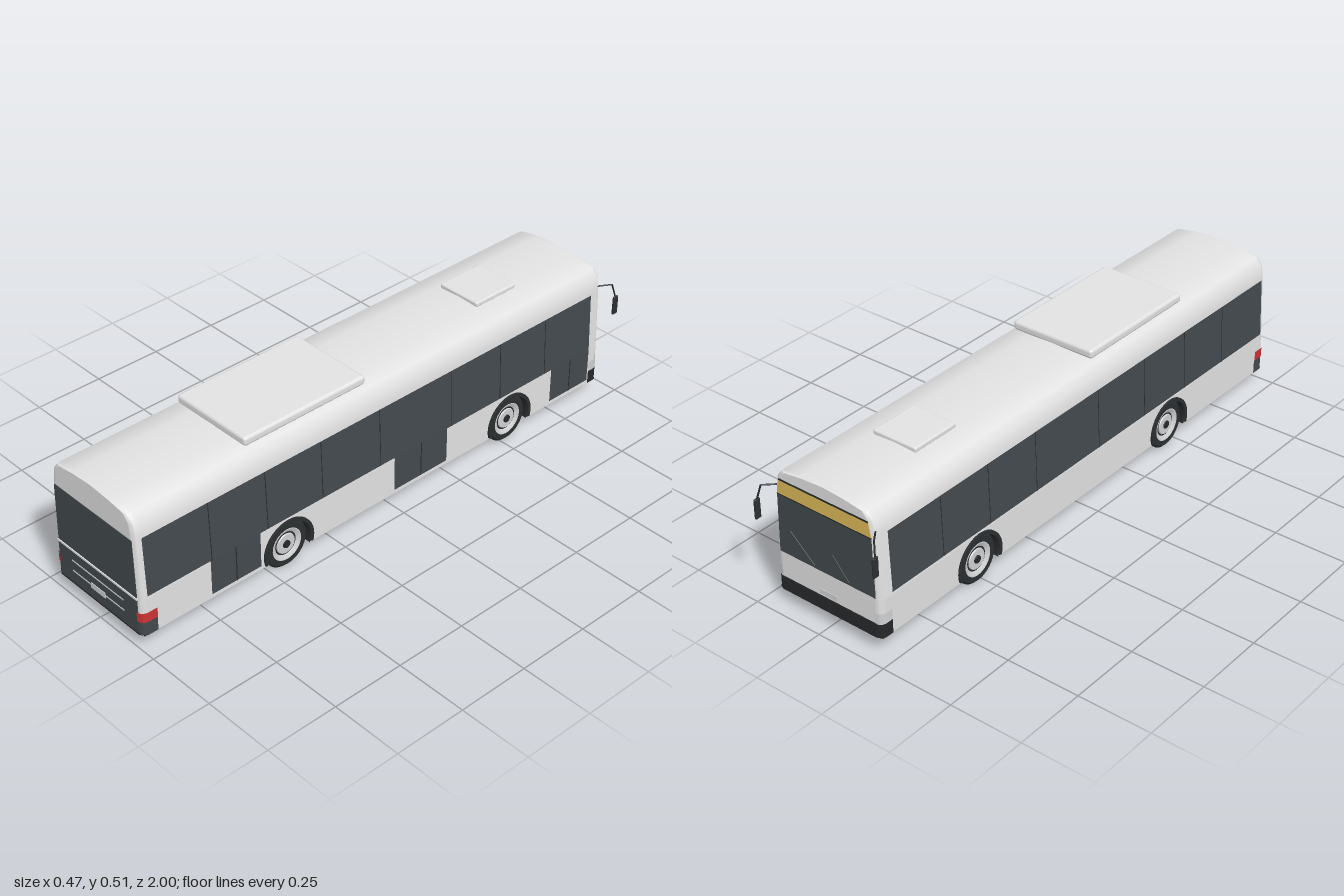
import * as THREE from 'three';
import { toCreasedNormals, mergeGeometries } from 'three/addons/utils/BufferGeometryUtils.js';
import { RoundedBoxGeometry } from 'three/addons/geometries/RoundedBoxGeometry.js';

const REAR = 0.995, FRONT = -0.95, R = 0.02, W = 0.203;
const WHEEL_Y = 0.083, WHEEL_Z = [-0.52, 0.44], ARCH = 0.09, DIP = 0.376;
// half of the body's cross-section, bottom to roof centre
const PROFILE = [[W, 0.05], [W, 0.18], [0.194, 0.4], [0.187, 0.445], [0.165, 0.47], [0.09, 0.48], [0, 0.485]];

function xAt(y) {
  for (let i = 1; i < PROFILE.length; i++) {
    const [x0, y0] = PROFILE[i - 1], [x1, y1] = PROFILE[i];
    if (y <= y1) return x0 + (x1 - x0) * (y - y0) / (y1 - y0);
  }
  return 0;
}

// [z, inset] stations round a vertical body corner, ascending in z
function corner(dir, off = 0) {
  const end = dir > 0 ? REAR : FRONT, out = [];
  for (let i = 0; i <= 5; i++) {
    const a = i / 5 * Math.PI / 2;
    out.push([end - dir * R + dir * (R + off) * Math.sin(a), R - (R + off) * Math.cos(a)]);
  }
  return dir > 0 ? out : out.reverse();
}

// surface through a row of cross-section points at every station
function skin(points, stations) {
  const pos = [], idx = [], n = points.length;
  for (const [z, inset] of stations)
    for (const [x, y] of points) pos.push(x * (1 - inset / W), y, z);
  for (let i = 0; i < stations.length - 1; i++)
    for (let j = 0; j < n - 1; j++) {
      const a = i * n + j, b = a + n;
      idx.push(a, a + 1, b + 1, a, b + 1, b);
    }
  const g = new THREE.BufferGeometry();
  g.setAttribute('position', new THREE.Float32BufferAttribute(pos, 3));
  g.setIndex(idx);
  return toCreasedNormals(g, 0.8);
}

// strip lying on one side wall (s = +1 or -1)
function band(s, ys, stations) {
  const pts = ys.map(y => [s * xAt(y), y]);
  return skin(s < 0 ? pts.reverse() : pts, stations);
}
const flat = (z0, z1, off) => [[z0, -off], [z1, -off]];

export function createModel() {
  const root = new THREE.Group();
  const mat = (name, color, side = THREE.FrontSide) => {
    const m = new THREE.MeshStandardMaterial({ color, side });
    m.name = name;
    return m;
  };
  const white = mat('white paint', 0xe2e2e2, THREE.DoubleSide);
  const glass = mat('dark glass', 0x42494d);
  const black = mat('black trim', 0x26282a, THREE.DoubleSide);
  const rubber = mat('rubber', 0x2c2f31, THREE.DoubleSide);
  const silver = mat('silver', 0xcfd1d2, THREE.DoubleSide);
  const red = mat('red lamp', 0xcc3333);
  const gold = mat('gold sign', 0xdcba58);
  const add = (name, geo, m, x = 0, y = 0, z = 0, parent = root) => {
    const mesh = new THREE.Mesh(geo, m);
    mesh.name = name;
    mesh.position.set(x, y, z);
    parent.add(mesh);
    return mesh;
  };
  const box = (name, m, w, h, d, x, y, z) => add(name, new THREE.BoxGeometry(w, h, d), m, x, y, z);

  // body shell: upper part full length, lower part only round the corners
  const mirrorPts = p => [...p, ...p.slice(0, -1).reverse().map(([x, y]) => [-x, y])];
  add('bodyShell', skin(mirrorPts(PROFILE.slice(1)), [...corner(-1), ...corner(1)]), white);
  for (const s of [1, -1]) for (const dir of [1, -1])
    add('lowerCorner', band(s, [0.05, 0.18], corner(dir)), white);

  // end walls
  const endShape = new THREE.Shape(mirrorPts(PROFILE).reverse().map(([x, y]) => new THREE.Vector2(x * (1 - R / W), y)));
  add('rearWall', new THREE.ShapeGeometry(endShape), white, 0, 0, REAR);
  add('frontWall', new THREE.ShapeGeometry(endShape).rotateY(Math.PI), white, 0, 0, FRONT);

  // lower side walls with wheel openings
  const wall = new THREE.Shape();
  wall.moveTo(FRONT + R, 0.05);
  for (const z of WHEEL_Z) {
    wall.lineTo(z - ARCH * Math.cos(DIP), 0.05);
    wall.absarc(z, WHEEL_Y, ARCH, Math.PI + DIP, -DIP, true);
  }
  wall.lineTo(REAR - R, 0.05);
  wall.lineTo(REAR - R, 0.18);
  wall.lineTo(FRONT + R, 0.18);
  for (const s of [1, -1])
    add('lowerSide', new THREE.ShapeGeometry(wall, 20).rotateY(-s * Math.PI / 2).scale(1, 1, s), white, s * W);

  // floor, left open above the wheels
  box('floor', black, 0.28, 0.004, 1.94, 0, 0.051, 0.0225);
  for (const s of [1, -1])
    for (const [a, b] of [[-0.945, -0.605], [-0.435, 0.355], [0.525, 0.99]])
      box('floorEdge', black, 0.064, 0.004, b - a, s * 0.17, 0.051, (a + b) / 2);

  // wheels, wells and arches
  const tyreGeo = toCreasedNormals(new THREE.LatheGeometry([[0, -0.024], [0.073, -0.024], [0.083, -0.016], [0.083, 0.016], [0.075, 0.024], [0.056, 0.024]]
    .map(p => new THREE.Vector2(...p)), 32).toNonIndexed(), 0.6);
  const rimGeo = new THREE.LatheGeometry([[0.057, 0.024], [0.053, 0.025], [0.041, 0.017]].map(p => new THREE.Vector2(...p)), 32);
  const flare = new THREE.Shape();
  flare.absarc(0, 0, 0.098, -0.28, Math.PI + 0.28, false);
  flare.absarc(0, 0, 0.086, Math.PI + 0.28, -0.28, true);
  const flareGeo = new THREE.ExtrudeGeometry(flare, { depth: 0.009, bevelEnabled: false, curveSegments: 20 });
  const wellArc = Math.PI + 2 * DIP;
  for (const s of [1, -1]) for (const z of WHEEL_Z) {
    const wheel = new THREE.Group();
    wheel.name = 'wheel';
    wheel.position.set(s * 0.172, WHEEL_Y, z);
    wheel.rotation.z = -s * Math.PI / 2;
    root.add(wheel);
    add('tyre', tyreGeo, rubber, 0, 0, 0, wheel);
    add('rim', rimGeo, silver, 0, 0, 0, wheel);
    add('rimGap', new THREE.CylinderGeometry(0.042, 0.042, 0.004, 28), black, 0, 0.015, 0, wheel);
    add('hubDisc', new THREE.CylinderGeometry(0.034, 0.037, 0.006, 28), silver, 0, 0.018, 0, wheel);
    add('hub', new THREE.CylinderGeometry(0.013, 0.015, 0.008, 16), black, 0, 0.021, 0, wheel);
    add('wheelWell', new THREE.CylinderGeometry(ARCH, ARCH, 0.065, 24, 1, true, -DIP, wellArc).rotateZ(Math.PI / 2), black, s * 0.1725, WHEEL_Y, z);
    add('wellInner', new THREE.CircleGeometry(ARCH, 24, -DIP, wellArc).rotateY(Math.PI / 2), black, s * 0.14, WHEEL_Y, z);
    add('wheelArch', flareGeo.clone().rotateY(-Math.PI / 2), rubber, s > 0 ? 0.21 : -0.201, WHEEL_Y, z);
  }

  // side windows with thin dividers
  for (const s of [1, -1]) {
    add('sideWindows', band(s, [0.19, 0.396], flat(-0.9, 0.972, 0.002)), glass);
    for (const z of [0.735, 0.52, 0.3, 0.06, -0.25, -0.47, -0.68])
      add('windowDivider', band(s, [0.19, 0.396], flat(z - 0.0015, z + 0.0015, 0.003)), black);
  }

  // doors on one side only
  for (const [a, b] of [[-0.9, -0.715], [-0.23, 0], [0.55, 0.74]]) {
    add('door', band(1, [0.065, 0.18, 0.191], flat(a, b, 0.002)), glass);
    const c = (a + b) / 2;
    add('doorSeam', band(1, [0.065, 0.18, 0.191], flat(c - 0.002, c + 0.002, 0.003)), black);
  }

  // corner lamps and bumper wraps
  for (const s of [1, -1]) {
    add('tailLamp', band(s, [0.1, 0.134], [[0.942, -0.004], ...corner(1, 0.004)]), red);
    add('rearBumperCorner', band(s, [0.05, 0.1], [[0.942, -0.002], ...corner(1, 0.002)]), glass);
    add('frontBumperCorner', band(s, [0.05, 0.098], [...corner(-1, 0.002), [-0.905, -0.002]]), black);
    add('headLamp', band(s, [0.1, 0.135], [...corner(-1, 0.002), [-0.905, -0.002]]), silver);
  }

  // thin plates on the end walls
  const plate = (name, m, dir, y0, y1, w0, w1, d = 0.002) => {
    const sh = new THREE.Shape([[-w0, y0], [w0, y0], [w1, y1], [-w1, y1]].map(p => new THREE.Vector2(...p)));
    add(name, new THREE.ExtrudeGeometry(sh, { depth: d, bevelEnabled: false }), m, 0, 0, dir > 0 ? REAR : FRONT - d);
  };
  plate('rearWindow', glass, 1, 0.186, 0.39, 0.186, 0.181);
  plate('rearLedge', white, 1, 0.179, 0.186, 0.188, 0.188, 0.005);
  plate('engineCover', glass, 1, 0.056, 0.179, 0.186, 0.186, 0.003);
  plate('rearSill', black, 1, 0.05, 0.056, 0.188, 0.188, 0.003);
  plate('rearTrim', silver, 1, 0.139, 0.144, 0.123, 0.123, 0.004);
  plate('rearTrim', silver, 1, 0.1, 0.105, 0.123, 0.123, 0.004);
  plate('rearPlate', silver, 1, 0.092, 0.112, 0.034, 0.034, 0.005);
  plate('windscreen', glass, -1, 0.188, 0.39, 0.186, 0.181);
  plate('destinationSign', gold, -1, 0.393, 0.44, 0.181, 0.172);
  plate('signBorder', black, -1, 0.39, 0.393, 0.181, 0.181, 0.003);
  plate('signBorder', black, -1, 0.44, 0.444, 0.172, 0.171, 0.003);
  plate('frontBumper', black, -1, 0.05, 0.098, 0.185, 0.185, 0.003);
  plate('frontPlate', silver, -1, 0.106, 0.122, 0.034, 0.034);

  // rods for wipers and mirror arms
  const rod = (pts, r) => mergeGeometries(pts.slice(1).map((p, i) =>
    new THREE.TubeGeometry(new THREE.LineCurve3(new THREE.Vector3(...pts[i]), new THREE.Vector3(...p)), 1, r, 6)));
  add('wiper', rod([[0.135, 0.28, -0.955], [0.045, 0.2, -0.955]], 0.002), black);
  add('wiper', rod([[-0.03, 0.27, -0.955], [-0.09, 0.2, -0.955]], 0.002), black);
  for (const s of [1, -1]) {
    add('mirrorArm', rod([[s * 0.188, 0.412, -0.94], [s * 0.218, 0.416, -0.978], [s * 0.228, 0.368, -0.988]], 0.0028), black);
    add('mirror', new RoundedBoxGeometry(0.009, 0.068, 0.022, 2, 0.004), rubber, s * 0.228, 0.337, -0.989);
  }

  // roof equipment
  add('roofUnit', new RoundedBoxGeometry(0.31, 0.032, 0.478, 2, 0.011), white, 0, 0.494, 0.317);
  add('roofHatch', new RoundedBoxGeometry(0.165, 0.018, 0.178, 2, 0.006), white, 0, 0.487, -0.563);
  return root;
}
